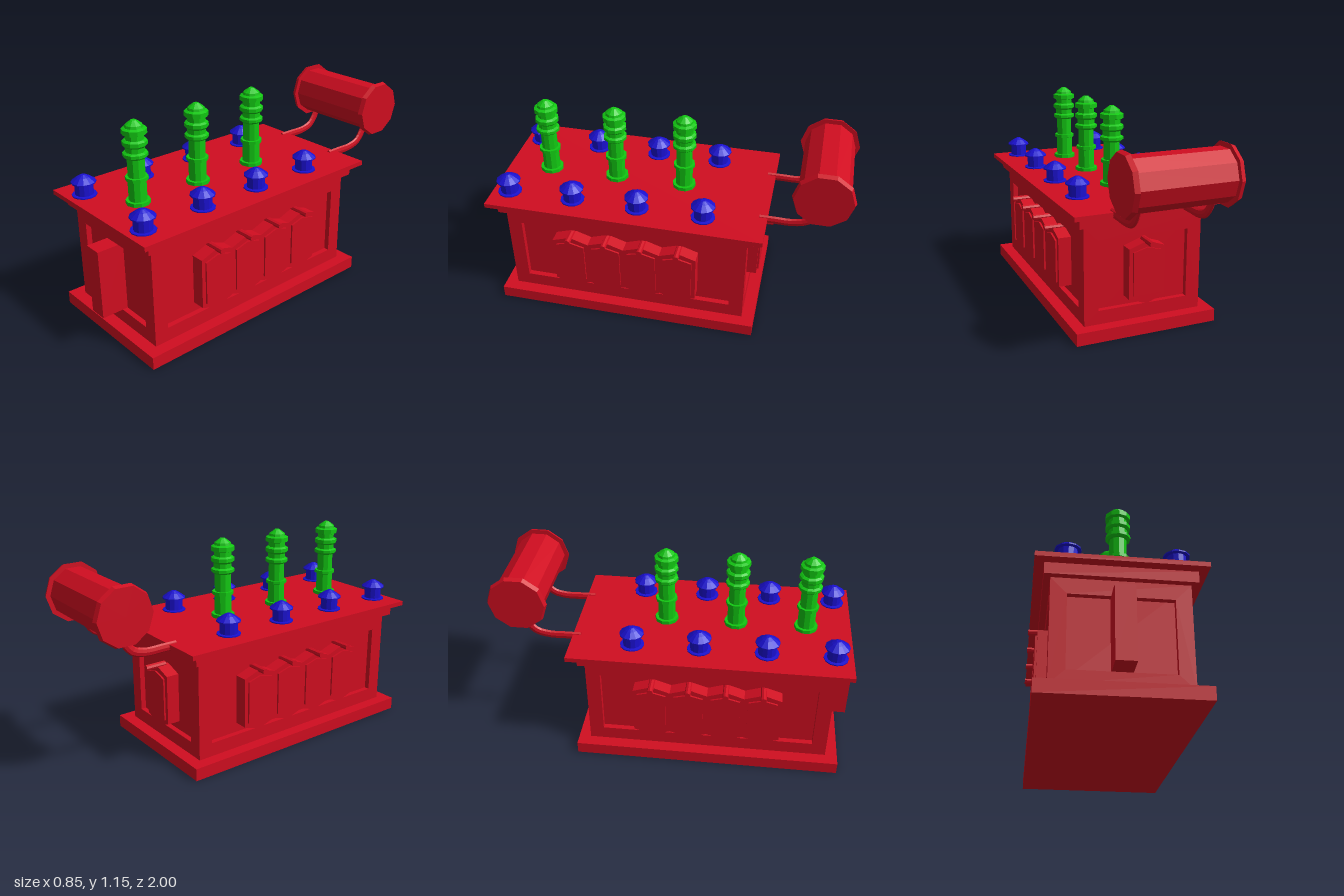
import * as THREE from 'three';

const paint = (color) => new THREE.MeshStandardMaterial({ color, flatShading: true });

export function createModel() {
  const model = new THREE.Group();
  model.name = 'transformer';
  const red = paint(0xd00d20), green = paint(0x12c812), blue = paint(0x1a10d0);

  const add = (name, geometry, material, x = 0, y = 0, z = 0, parent = model) => {
    const mesh = new THREE.Mesh(geometry, material);
    mesh.name = name;
    mesh.position.set(x, y, z);
    parent.add(mesh);
    return mesh;
  };
  const MID = 0.2025; // centre of the housing along z
  const slab = (name, w, y0, y1, l) =>
    add(name, new THREE.BoxGeometry(w, y1 - y0, l), red, 0, (y0 + y1) / 2, MID);
  const polygon = (points) => new THREE.Shape(points.map(([x, y]) => new THREE.Vector2(x, y)));
  const rect = (hw, y0, y1) => polygon([[-hw, y0], [hw, y0], [hw, y1], [-hw, y1]]);
  const extrude = (shape, depth) => new THREE.ExtrudeGeometry(shape, { depth, bevelEnabled: false });

  // Plinth, housing core and stepped lid
  const RECESS = 0.03;
  slab('plinth', 0.81, 0, 0.07, 1.49);
  slab('housingCore', 0.676 - 2 * RECESS, 0.07, 0.62, 1.355 - 2 * RECESS);
  slab('lidStep', 0.74, 0.62, 0.68, 1.422);
  slab('lid', 0.834, 0.68, 0.705, 1.525);

  // Wall with a recessed panel; local +z points outwards, z = 0 is the outer surface
  const wall = (name, halfWidth, panelHalf, x, z, turn) => {
    const group = new THREE.Group();
    group.name = name;
    group.position.set(x, 0, z);
    group.rotation.y = turn;
    const frame = rect(halfWidth, 0.07, 0.62);
    frame.holes.push(rect(panelHalf, 0.147, 0.536));
    add('panelFrame', extrude(frame, RECESS), red, 0, 0, -RECESS, group);
    model.add(group);
    return group;
  };

  // Elongated hexagonal cooling fin with a raised face and a small pipe
  const hexagon = (hw, inset) => polygon([
    [-hw, 0.2 + inset * 0.6], [0, 0.165 + inset], [hw, 0.2 + inset * 0.6],
    [hw, 0.48 - inset * 0.6], [0, 0.515 - inset], [-hw, 0.48 - inset * 0.6],
  ]);
  const finBody = extrude(hexagon(0.102, 0), RECESS + 0.043);
  const finFace = extrude(hexagon(0.08, 0.032), 0.012);
  const pipeStub = new THREE.CylinderGeometry(0.016, 0.016, 0.12, 8).rotateX(Math.PI / 2);
  const addFin = (side, x, stubEnd) => {
    add('coolingFin', finBody, red, x, 0, -RECESS, side);
    add('finFace', finFace, red, x, 0, 0.041, side);
    add('finPipe', pipeStub, red, x, 0.515, stubEnd - 0.06, side);
  };

  const front = wall('frontWall', 0.338, 0.258, 0, 0.88, 0);
  add('controlBox', new THREE.BoxGeometry(0.1, 0.387, 0.15), red, 0, 0.3415, 0.045, front);
  const back = wall('backWall', 0.338, 0.258, 0, -0.475, Math.PI);
  addFin(back, 0, 0.11);
  for (const s of [1, -1]) {
    const side = wall(s > 0 ? 'leftWall' : 'rightWall', 0.6475, 0.5975, s * 0.338, MID, s * Math.PI / 2);
    for (let i = 0; i < 4; i++) addFin(side, -s * (0.505 - i * 0.2035 - MID), 0.088);
  }

  // Turned insulators on the lid
  const lathe = (points, sides) =>
    new THREE.LatheGeometry(points.map(([r, y]) => new THREE.Vector2(r, y)), sides);
  const tall = lathe([
    [0.065, 0], [0.065, 0.02], [0.048, 0.02], [0.048, 0.128], [0.06, 0.132], [0.06, 0.15],
    [0.045, 0.15], [0.045, 0.252], [0.054, 0.252], [0.065, 0.262], [0.065, 0.278], [0.05, 0.285],
    [0.05, 0.312], [0.056, 0.312], [0.065, 0.322], [0.065, 0.342], [0.052, 0.35],
    [0.048, 0.35], [0.048, 0.375], [0.065, 0.38], [0.065, 0.405], [0.048, 0.412],
    [0.045, 0.425], [0.014, 0.448], [0, 0.448],
  ], 10);
  const short = lathe([
    [0.066, 0], [0.066, 0.006], [0.049, 0.008], [0.049, 0.07], [0.066, 0.072],
    [0.066, 0.079], [0.034, 0.103], [0.012, 0.115], [0, 0.115],
  ], 12);
  for (const z of [0.715, 0.325, -0.065]) add('tallInsulator', tall, green, 0.008, 0.705, z);
  for (let i = 0; i < 4; i++)
    for (const x of [-0.257, 0.273]) add('shortInsulator', short, blue, x, 0.705, 0.87 - i * 0.364);

  // Oil tank lying along x, with flanged ends
  const tank = new THREE.Group();
  tank.name = 'oilTank';
  tank.position.set(0.012, 0.923, -0.837);
  tank.rotation.z = -Math.PI / 2;
  model.add(tank);
  const drum = (top, bottom, h) => new THREE.CylinderGeometry(top, bottom, h, 10);
  add('tankBody', drum(0.137, 0.137, 0.53), red, 0, 0, 0, tank);
  add('tankEnd', drum(0.154, 0.163, 0.025), red, 0, 0.27, 0, tank);
  add('tankEnd', drum(0.163, 0.154, 0.025), red, 0, -0.27, 0, tank);

  // Bent pipes carrying the tank
  const path = new THREE.CatmullRomCurve3([
    [0.692, -0.515], [0.692, -0.6], [0.692, -0.69], [0.712, -0.765], [0.765, -0.81], [0.84, -0.837],
  ].map(([y, z]) => new THREE.Vector3(0, y, z)));
  const pipe = new THREE.TubeGeometry(path, 14, 0.024, 8).scale(0.55, 1, 1);
  const pipeEnd = new THREE.CircleGeometry(0.024, 8).scale(0.55, 1, 1);
  for (const x of [-0.196, 0.198]) {
    add('tankPipe', pipe, red, x);
    add('tankPipeEnd', pipeEnd, red, x, 0.692, -0.515);
  }
  return model;
}
